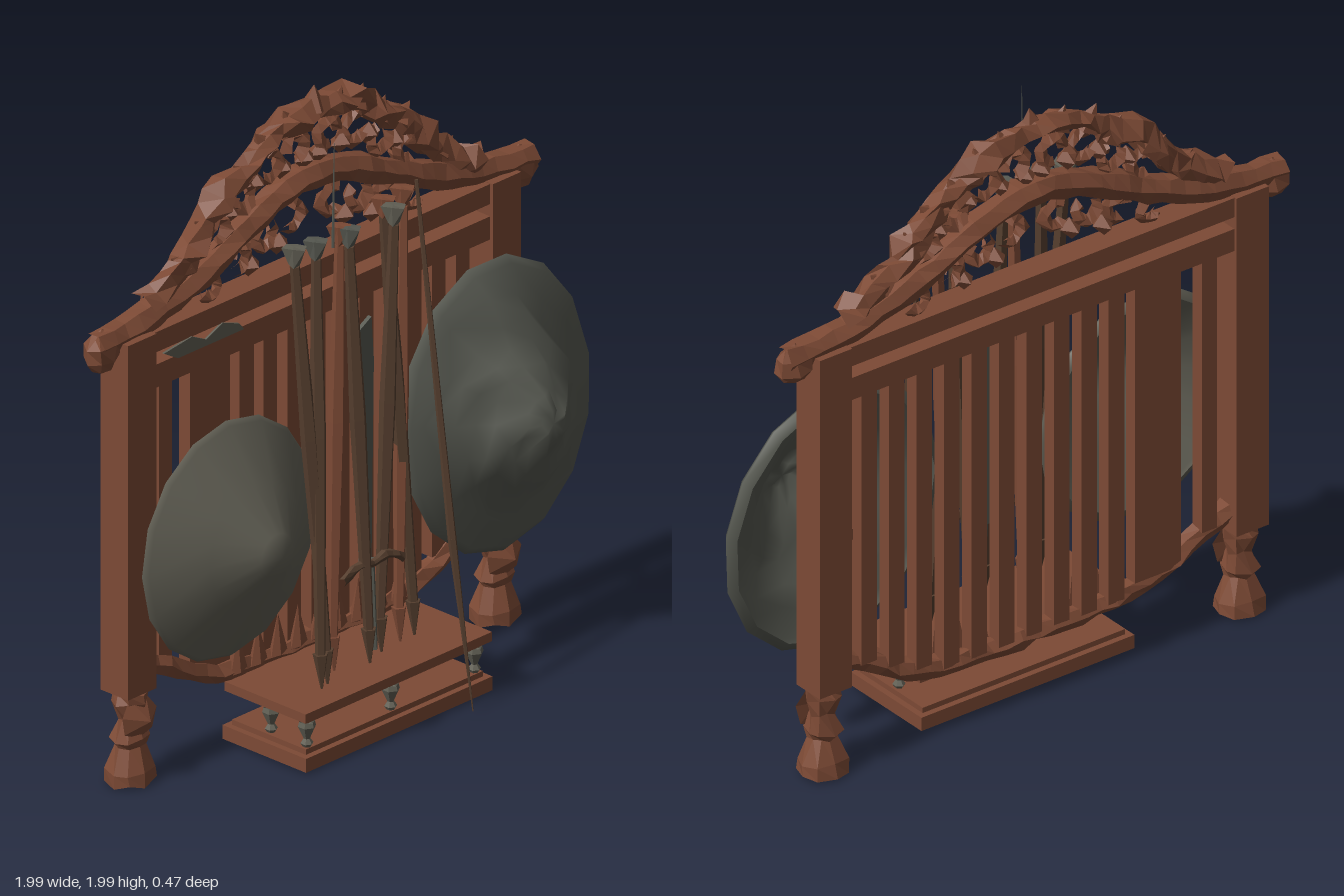
import * as THREE from 'three';
import { mergeVertices } from 'three/addons/utils/BufferGeometryUtils.js';

const CX = -0.045, FZ = -0.17; // frame centre line and frame depth position

export function createModel() {
  const root = new THREE.Group();
  root.name = 'weaponRack';
  const wood = new THREE.MeshStandardMaterial({ color: 0x7d4a35 });
  const darkWood = new THREE.MeshStandardMaterial({ color: 0x553e2e });
  const iron = new THREE.MeshStandardMaterial({ color: 0x615f54, side: THREE.DoubleSide });
  const steel = new THREE.MeshStandardMaterial({ color: 0x565850, side: THREE.DoubleSide });
  wood.name = 'redWood'; darkWood.name = 'darkWood'; iron.name = 'iron'; steel.name = 'steel';

  const V = (x, y, z = FZ) => new THREE.Vector3(x, y, z);
  const hash = (a, b, c) => {
    const s = Math.sin(Math.round(a * 500) * 12.99 + Math.round(b * 500) * 78.23 + Math.round(c * 500) * 37.72) * 43758.5;
    return (s - Math.floor(s)) * 2 - 1;
  };
  // Hand-carved roughness with flat facets; shared corners move together
  const carve = (geo, amount) => {
    const g = geo.index ? geo.toNonIndexed() : geo;
    const p = g.attributes.position;
    for (let i = 0; i < p.count; i++) {
      const x = p.getX(i), y = p.getY(i), z = p.getZ(i);
      p.setXYZ(i, x + amount * hash(x, y, z), y + amount * hash(y, z, x), z + amount * hash(z, x, y));
    }
    g.computeVertexNormals();
    return g;
  };
  const add = (name, geo, mat, x = 0, y = 0, z = 0) => {
    const m = new THREE.Mesh(geo, mat);
    m.name = name;
    m.position.set(x, y, z);
    root.add(m);
    return m;
  };
  const box = (name, w, h, d, x, y, z) => add(name, new THREE.BoxGeometry(w, h, d), wood, x, y, z);
  const tube = (name, pts, r, segs, rough, mat = wood) =>
    add(name, carve(new THREE.TubeGeometry(new THREE.CatmullRomCurve3(pts), segs, r, 6), rough), mat);
  // Tapered bar between two points
  const bar = (name, a, b, r0, r1, mat, sides = 5) => {
    const d = b.clone().sub(a);
    const m = add(name, carve(new THREE.CylinderGeometry(r1, r0, d.length(), sides), 0), mat);
    m.position.copy(a).addScaledVector(d, 0.5);
    m.quaternion.setFromUnitVectors(V(0, 1, 0), d.normalize());
    return m;
  };
  // Flat plate from an outline
  const plate = (name, pts, depth, mat, z) => add(name, new THREE.ExtrudeGeometry(
    new THREE.Shape(pts.map(p => new THREE.Vector2(...p))), { depth, bevelEnabled: false }), mat, 0, 0, z);
  // Half outline given as [offset from centre, y], mirrored into a full arch
  const arch = (half) => [
    ...half.map(([x, y]) => V(CX - x, y)),
    ...half.slice(0, -1).reverse().map(([x, y]) => V(CX + x, y))];

  // Posts with turned legs and flared feet
  const legProfile = [[0, 0.01], [0.08, 0.01], [0.075, 0.05], [0.045, 0.125], [0.058, 0.15],
    [0.042, 0.21], [0.06, 0.27], [0.055, 0.3], [0, 0.31]].map(p => new THREE.Vector2(...p));
  for (const s of [-1, 1]) {
    const x = CX + s * 0.773;
    box('post', 0.12, 1.15, 0.112, x, 0.875, FZ);
    add('turnedLeg', carve(new THREE.LatheGeometry(legProfile, 8), 0.008), wood, x, 0, FZ + 0.008).scale.z = 0.85;
    // Carved scroll closing each end of the top rail
    add('scrollEnd', carve(new THREE.SphereGeometry(0.065, 7, 5), 0.008), wood, CX + s * 0.885, 1.435, FZ).scale.z = 0.7;
    add('postKnob', carve(new THREE.ConeGeometry(0.07, 0.05, 7).rotateX(Math.PI / 2), 0.006), wood, x, 0.22, -0.105);
  }

  // Crest: moulded lower arch, leafy upper arch and scrolls between
  tube('lowerArch', arch([[0.92, 1.46], [0.7, 1.48], [0.52, 1.53], [0.3, 1.62], [0.13, 1.69], [0, 1.71]]), 0.045, 34, 0.006);
  tube('upperArch', arch([[0.7, 1.52], [0.57, 1.58], [0.47, 1.67], [0.39, 1.76], [0.28, 1.82], [0.17, 1.89], [0, 1.92]]), 0.042, 34, 0.018);
  const leaf = (x, y, r, angle) => {
    const m = add('crestLeaf', carve(new THREE.ConeGeometry(r, r * 1.6, 5), 0.01), wood, x, y, FZ);
    m.rotation.z = angle;
    m.scale.z = 0.7;
  };
  leaf(CX + 0.005, 1.955, 0.055, 0);
  for (const s of [-1, 1]) {
    for (const [x, y, r] of [[0.11, 1.92, 0.045], [0.21, 1.89, 0.05], [0.3, 1.82, 0.05], [0.39, 1.78, 0.055], [0.46, 1.7, 0.05], [0.57, 1.61, 0.045]])
      leaf(CX + s * x, y, r, -s * (0.3 + x));
    // Scrolls and droplets under each arch
    for (const [x, y, r, a] of [[0.07, 1.82, 0.042, 0], [0.18, 1.8, 0.045, 1], [0.29, 1.73, 0.04, 2], [0.4, 1.66, 0.04, 0.5],
      [0.08, 1.6, 0.038, 1], [0.2, 1.58, 0.04, 2.4], [0.31, 1.54, 0.036, 0.4], [0.43, 1.49, 0.034, 1.2]]) {
      const c = add('crestScroll', carve(new THREE.TorusGeometry(r, 0.021, 4, 8, 4.6), 0.007), wood, CX + s * x, y, FZ);
      c.rotation.set(0, s < 0 ? Math.PI : 0, a);
    }
    for (const [x, y] of [[0.03, 1.77], [0.125, 1.77], [0.24, 1.76], [0.35, 1.7], [0.14, 1.53], [0.26, 1.5]])
      add('crestDrop', carve(new THREE.OctahedronGeometry(0.035), 0.008), wood, CX + s * x, y, FZ);
  }

  // Cross rails and slatted back
  box('topRail', 1.46, 0.065, 0.09, CX, 1.415, FZ);
  box('slatRail', 1.46, 0.075, 0.09, CX, 1.305, FZ);
  const slats = [[-0.675, 0.055], [-0.485, 0.17], [-0.33, 0.06]];
  for (let i = 0; i < 9; i++) slats.push([-0.23 + i * 0.102, 0.058]);
  for (const [x, width] of slats) {
    const low = 0.22 + 0.13 * Math.max(0, Math.abs(x - CX) - 0.35) / 0.3;
    box('backSlat', width, 1.3 - low, 0.045, x, (1.3 + low) / 2, FZ - 0.01);
  }
  tube('curvedBottomRail', arch([[0.73, 0.37], [0.6, 0.32], [0.5, 0.26], [0.38, 0.225], [0.2, 0.21], [0, 0.21]]), 0.034, 26, 0.007);
  for (let i = 0; i < 9; i++)
    add('bottomLeaf', carve(new THREE.ConeGeometry(0.04, 0.13, 5), 0.012), wood, CX + (i - 4) * 0.085, 0.28, FZ + 0.03).scale.z = 0.5;

  // Stepped stand: base, shelf and little balusters
  box('standBase', 0.79, 0.045, 0.34, -0.035, 0.032, 0.01);
  box('standBaseTop', 0.75, 0.02, 0.3, -0.035, 0.062, 0.01);
  box('standShelf', 0.79, 0.03, 0.33, -0.035, 0.183, 0.013);
  box('standShelfMoulding', 0.73, 0.02, 0.28, -0.035, 0.16, 0.013);
  const baluster = [[0.01, 0], [0.02, 0.015], [0.01, 0.03], [0.028, 0.07], [0.024, 0.085]].map(p => new THREE.Vector2(...p));
  for (const x of [-0.39, -0.035, 0.32]) for (const z of [0.145, 0])
    add('baluster', carve(new THREE.LatheGeometry(baluster, 6), 0), iron, x, 0.068, z);

  // Pole weapons leaning on the rails: [top x, top z, bottom x, bottom z, material, head]
  for (const [tx, tz, bx, bz, mat, head] of [
    [-0.31, 0.02, -0.25, 0.09, darkWood, iron], [-0.23, 0.03, -0.285, 0.1, darkWood, steel],
    [-0.11, 0.01, -0.17, 0.04, wood, wood], [-0.1, 0.04, -0.06, 0.08, darkWood, steel],
    [0.1, 0.03, 0.02, 0.05, darkWood, iron], [0.12, -0.03, 0.17, 0.04, darkWood, wood],
    [0.21, -0.04, 0.11, 0.04, wood, wood]]) {
    const top = V(tx, 1.56, tz), bottom = V(bx, 0.32, bz);
    const mid = top.clone().lerp(bottom, 0.45);
    bar('poleLower', bottom, mid, 0.016, 0.026, mat);
    bar('poleUpper', mid, top, 0.026, 0.016, mat);
    bar('poleFoot', V(bx, 0.21, bz + 0.005), bottom, 0.004, 0.024, mat);
    add('poleHead', carve(new THREE.CylinderGeometry(0.036, 0.018, 0.06, 6), 0.007), head, tx, 1.595, tz);
  }
  // Long slim spear in front and a thin needle point
  bar('spearTail', V(0.215, 0.01, 0.24), V(0.205, 0.55, 0.165), 0.002, 0.014, darkWood);
  bar('spearShaft', V(0.205, 0.55, 0.165), V(0.215, 1.66, 0.01), 0.014, 0.006, darkWood);
  bar('needlePoint', V(-0.17, 1.58, 0.04), V(-0.17, 1.92, 0.045), 0.005, 0.001, steel);

  // Sword standing point up, with cross guard
  plate('swordBlade', [[-0.03, 0.5], [0.01, 0.5], [0.02, 1.15], [0.01, 1.29], [-0.06, 1.25], [-0.05, 0.9]], 0.014, steel, 0.01);
  tube('swordGuard', [V(-0.16, 0.5, 0.07), V(-0.1, 0.53, 0.07), V(-0.03, 0.52, 0.07), V(0.03, 0.53, 0.07), V(0.09, 0.5, 0.07)], 0.014, 10, 0.004, darkWood);
  bar('swordGrip', V(-0.03, 0.24, 0.07), V(-0.02, 0.52, 0.04), 0.014, 0.02, steel);

  // Small iron hook plate between the rails
  plate('hookPlate', [[-0.72, 1.37], [-0.66, 1.335], [-0.38, 1.335], [-0.4, 1.36], [-0.47, 1.385], [-0.54, 1.355], [-0.6, 1.385]], 0.008, iron, -0.128);

  // Shields: smooth domes leaning back, each hung on a peg; hammered dents ripple the surface
  const shield = (name, profile, sides, dents, mat, x, y, z, sx, lean, yaw) => {
    const lathe = new THREE.LatheGeometry(profile.map(p => new THREE.Vector2(...p)), sides).rotateX(Math.PI / 2);
    lathe.deleteAttribute('uv');
    lathe.deleteAttribute('normal');
    const geo = mergeVertices(lathe, 1e-4), p = geo.attributes.position;
    for (let i = 0; i < p.count; i++) {
      const px = p.getX(i), py = p.getY(i), r = Math.hypot(px, py);
      if (r < 0.4 && r > 0.01) {
        const k = 1 + dents * hash(py, r, px);
        p.setXYZ(i, px * k, py * k, p.getZ(i) + 0.35 * dents * hash(px, py, r));
      }
    }
    geo.computeVertexNormals();
    const m = add(name, geo, mat, x, y, z);
    m.rotation.set(-lean, yaw, 0);
    m.scale.x = sx;
    bar('shieldPeg', V(x, 0.77, -0.16), V(x, 0.77, -0.01), 0.025, 0.025, wood, 6);
  };
  shield('coneShield', [[0.35, -0.025], [0.378, -0.012], [0.365, 0.005], [0.2, 0.1], [0.07, 0.185], [0, 0.21]],
    16, 0, iron, -0.54, 0.74, -0.02, 0.985, 0.025, 0.02);
  shield('batteredShield', [[0.43, -0.02], [0.463, 0], [0.44, 0.025], [0.36, 0.05], [0.29, 0.085], [0.23, 0.13], [0.17, 0.165], [0.1, 0.225], [0.045, 0.235], [0, 0.245]],
    15, 0.08, steel, 0.605, 0.78, -0.045, 0.845, 0.075, -0.02);

  return root;
}
